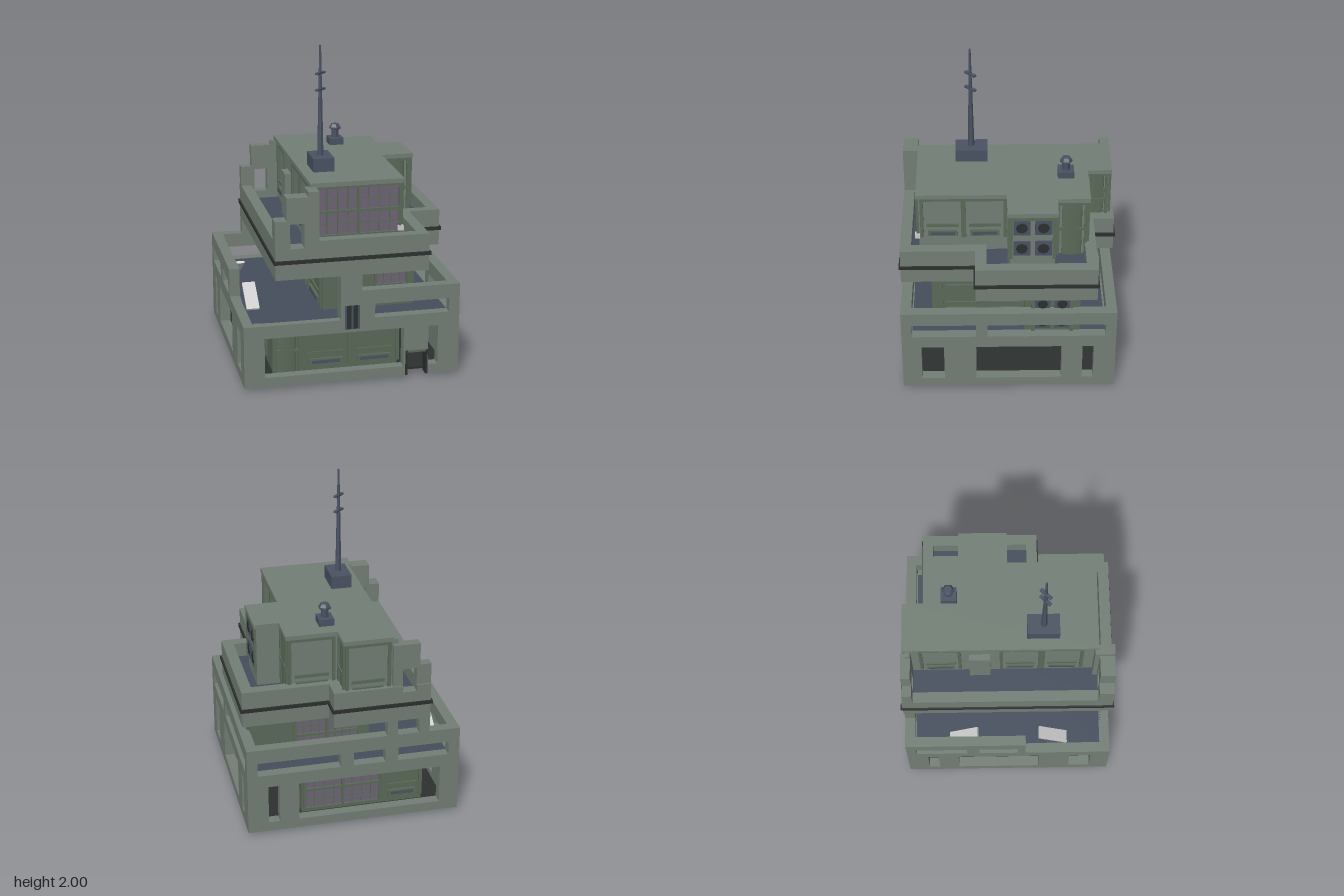
import * as THREE from 'three';

const mat = color => new THREE.MeshStandardMaterial({ color, flatShading: true, roughness: 0.9 });

export function createModel() {
  const root = new THREE.Group();
  const wall = mat(0x727e75), green = mat(0x5a6a58), dark = mat(0x4a5262);
  const glass = mat(0x6d6474), white = mat(0xcccccc), floor = mat(0x454d5c), black = mat(0x2c302e);

  const add = (parent, name, geo, m) => {
    const mesh = new THREE.Mesh(geo, m);
    mesh.name = name;
    parent.add(mesh);
    return mesh;
  };
  // Box given by its limits on each axis
  const box = (name, x0, x1, y0, y1, z0, z1, m = wall, parent = root) => {
    const mesh = add(parent, name, new THREE.BoxGeometry(x1 - x0, y1 - y0, z1 - z0), m);
    mesh.position.set((x0 + x1) / 2, (y0 + y1) / 2, (z0 + z1) / 2);
  };
  const vecs = pts => pts.map(([x, y]) => new THREE.Vector2(x, y));
  const rect = ([a, b, c, d]) => new THREE.Path(vecs([[a, c], [b, c], [b, d], [a, d]]));
  const extrude = (shape, depth) => new THREE.ExtrudeGeometry(shape, { depth, bevelEnabled: false });

  // Plan outline (x, z) raised from y0 to y1, with an optional inner outline cut out
  const plan = (name, pts, y0, y1, m, inner) => {
    const flip = p => vecs(p.map(([x, z]) => [x, -z]));
    const shape = new THREE.Shape(flip(pts).reverse());
    if (inner) shape.holes.push(new THREE.Path(flip(inner)));
    add(root, name, extrude(shape, y1 - y0).rotateX(-Math.PI / 2).translate(0, y0, 0), m);
  };
  // Upright wall with rectangular openings; along x, or along z when side is set
  const pierced = (name, pts, holes, at, side, t = 0.065) => {
    const shape = new THREE.Shape(vecs(pts));
    shape.holes = holes.map(rect);
    const geo = extrude(shape, t);
    if (side) geo.rotateY(-Math.PI / 2).translate(at + t, 0, 0);
    else geo.translate(0, 0, at);
    add(root, name, geo, wall);
  };

  // ---- Facade pieces: local x runs along the wall, local z points outward ----
  const facade = (name, x, y, z, ry, build) => {
    const g = new THREE.Group();
    g.name = name;
    g.position.set(x, y, z);
    g.rotation.y = ry;
    build(g);
    root.add(g);
  };
  const windowGrid = (g, w, h, cols, rows) => {
    const cw = w / cols, rh = h / rows;
    for (let i = 0; i < cols; i++) for (let j = 0; j < rows; j++) {
      const x = -w / 2 + i * cw, y = j * rh;
      box('windowPane', x + 0.01, x + cw - 0.01, y + 0.01, y + rh - 0.01, -0.005, 0.006, glass, g);
      for (let k = 1; k < 4; k++)
        box('glazingBar', x + cw * k / 4 - 0.003, x + cw * k / 4 + 0.003, y + 0.01, y + rh - 0.01, 0, 0.01, green, g);
      box('glazingRail', x + 0.01, x + cw - 0.01, y + rh / 2 - 0.003, y + rh / 2 + 0.003, 0, 0.01, green, g);
    }
    for (let i = 0; i <= cols; i++)
      box('mullion', -w / 2 + i * cw - 0.008, -w / 2 + i * cw + 0.008, 0, h, 0, 0.016, green, g);
    for (let j = 0; j <= rows; j++)
      box('transom', -w / 2, w / 2, Math.max(0, j * rh - 0.008), j * rh + 0.008, 0, 0.016, green, g);
  };
  const windowFrame = (g, w, h) => {
    for (const s of [-1, 1]) box('pilaster', s * w / 2 - 0.01, s * w / 2 + 0.01, 0, h, 0, 0.014, green, g);
    box('lintel', -w / 2, w / 2, h - 0.02, h, 0, 0.012, green, g);
  };
  const fanGrid = (g, w, h, rows) => {
    windowFrame(g, w, h);
    for (const sx of [-1, 1]) for (let j = 0; j < rows; j++) {
      const cy = (j + 0.5) * h / rows, s = Math.min(w / 4, h / rows / 2) - 0.014;
      box('fanHousing', sx * w / 4 - s, sx * w / 4 + s, cy - s, cy + s, 0, 0.01, dark, g);
      const fan = add(g, 'fan', new THREE.CylinderGeometry(s * 0.7, s * 0.7, 0.006, 8).rotateX(Math.PI / 2), black);
      fan.position.set(sx * w / 4, cy, 0.011);
    }
  };
  const consoleBay = (g, w, h) => {
    windowFrame(g, w, h);
    box('ledgeBox', -w * 0.36, w * 0.36, 0.01, 0.05, 0, 0.014, green, g);
    box('ledgeSlot', -w * 0.3, w * 0.3, 0.02, 0.04, 0.01, 0.017, dark, g);
    box('ledgeCap', -w * 0.39, w * 0.39, 0.075, 0.095, 0, 0.01, green, g);
  };
  const roundBay = (g, w, h) => {
    windowFrame(g, w, h);
    const r = w * 0.36;
    add(g, 'halfColumn', new THREE.CylinderGeometry(r, r, h, 16, 1, false, -Math.PI / 2, Math.PI)
      .scale(1, 1, 0.25).translate(0, h / 2, 0), green);
    box('columnBand', -w / 2, w / 2, h / 2 - 0.008, h / 2 + 0.008, 0, 0.018, green, g);
  };
  const Q = Math.PI / 2;

  // ---- Ground storey: floor, pierced outer walls, terrace, inner block ----
  box('groundFloor', -0.61, 0.6, 0.03, 0.045, -0.61, 0.6, black);
  for (const [x, z, w] of [[-0.28, -0.04, 0.04], [0.07, -0.04, 0.02]])
    box('footPad', x - w / 2, x + w / 2, 0, 0.03, z - 0.035, z + 0.035, dark);
  box('terraceFloor', -0.61, 0.6, 0.35, 0.41, -0.61, 0.61, floor);
  pierced('frontWall', [[-0.67, 0.02], [0.33, 0.02], [0.33, 0.17], [0.455, 0.17], [0.455, 0.02], [0.655, 0.02],
    [0.655, 0.59], [-0.08, 0.59], [-0.08, 0.41], [-0.67, 0.41]],
  [[-0.545, 0.31, 0.08, 0.33], [0.465, 0.525, 0.08, 0.33], [0.13, 0.6, 0.412, 0.5]], 0.595);
  pierced('backWall', [[-0.67, 0.02], [0.655, 0.02], [0.655, 0.59], [-0.67, 0.59]],
    [[-0.55, 0.34, 0.08, 0.33], [0.46, 0.53, 0.08, 0.33],
      [-0.6, -0.28, 0.412, 0.5], [-0.2, 0, 0.412, 0.5], [0.08, 0.6, 0.412, 0.5]], -0.665);
  pierced('leftWall', [[-0.665, 0.02], [0.66, 0.02], [0.66, 0.59], [-0.665, 0.59]],
    [[0.4, 0.54, 0.08, 0.33], [-0.33, 0.2, 0.08, 0.33], [-0.53, -0.46, 0.08, 0.33],
      [0.2, 0.6, 0.412, 0.5], [-0.6, 0.13, 0.412, 0.5]], 0.593, true);
  pierced('rightWall', [[-0.665, 0.02], [0.66, 0.02], [0.66, 0.41], [0.11, 0.41], [0.11, 0.59], [-0.665, 0.59]],
    [[0.4, 0.54, 0.08, 0.33], [-0.33, 0.2, 0.08, 0.33], [-0.53, -0.46, 0.08, 0.33],
      [-0.6, -0.27, 0.412, 0.5], [-0.19, 0.06, 0.412, 0.5]], -0.67, true);
  box('groundBlock', -0.47, 0.3, 0.04, 0.36, -0.54, 0.54, green);
  facade('frontRoundBay', -0.39, 0.045, 0.54, 0, g => roundBay(g, 0.16, 0.305));
  facade('frontBayA', -0.15, 0.08, 0.54, 0, g => consoleBay(g, 0.29, 0.27));
  facade('frontBayB', 0.155, 0.08, 0.54, 0, g => consoleBay(g, 0.29, 0.27));
  facade('backGlazing', 0.04, 0.07, -0.54, Math.PI, g => windowGrid(g, 0.48, 0.27, 2, 2));
  facade('backBay', -0.34, 0.08, -0.54, Math.PI, g => consoleBay(g, 0.24, 0.27));
  for (const z of [-0.18, 0.15]) {
    facade('leftBay', 0.3, 0.08, z, Q, g => consoleBay(g, 0.32, 0.27));
    facade('rightBay', -0.47, 0.08, z, -Q, g => consoleBay(g, 0.32, 0.27));
  }
  // Doorway
  for (const x of [0.322, 0.449]) box('doorJamb', x, x + 0.014, 0.02, 0.18, 0.6, 0.662, black);
  box('doorHead', 0.322, 0.463, 0.166, 0.18, 0.6, 0.662, green);

  // ---- Terrace: middle storey, posts, tilted panels ----
  box('middleBlock', -0.15, 0.42, 0.4, 0.72, -0.45, 0.46, green);
  box('middleWing', 0.4, 0.595, 0.4, 0.72, -0.44, -0.1, green);
  facade('middleFrontGlazing', 0.28, 0.42, 0.46, 0, g => windowGrid(g, 0.2, 0.25, 1, 2));
  facade('middleWingFans', 0.595, 0.41, -0.27, Q, g => fanGrid(g, 0.24, 0.28, 2));
  for (const z of [0.29, 0.02])
    facade('middleBay', 0.42, 0.41, z, Q, g => {
      consoleBay(g, 0.25, 0.28);
      box('upperLedge', -0.09, 0.09, 0.2, 0.23, 0, 0.014, green, g);
    });
  for (const z of [0.24, -0.2]) facade('middleRightBay', -0.15, 0.41, z, -Q, g => consoleBay(g, 0.36, 0.28));
  facade('middleBackGlazing', 0.12, 0.42, -0.45, Math.PI, g => windowGrid(g, 0.4, 0.25, 2, 2));
  box('frontPost', -0.08, 0.05, 0.4, 0.7, 0.56, 0.66);
  box('frontPostRecess', -0.05, 0.03, 0.35, 0.5, 0.65, 0.661, black);
  for (const x of [-0.05, -0.01, 0.03]) box('postRib', x - 0.006, x + 0.006, 0.35, 0.5, 0.65, 0.665, dark);
  box('backCornerPost', -0.475, -0.41, 0.58, 0.7, -0.665, -0.6);
  box('backPost', -0.275, -0.21, 0.58, 0.7, -0.665, -0.6);
  for (const s of [-1, 1]) {
    const p = add(root, 'tiltedPanel', new THREE.BoxGeometry(0.08, 0.015, 0.21), white);
    p.position.set(-0.565, 0.47, s * 0.288);
    p.rotation.x = s * 0.55;
  }

  // ---- Overhanging deck with parapet and rib ----
  const outline = (o, x0 = -0.475) => [[x0 - o, -0.67 - o], [0.125 + o, -0.67 - o], [0.125 + o, -0.54 - o],
    [0.657 + o, -0.54 - o], [0.657 + o, 0.2 + o], [0.46 + o, 0.2 + o], [0.46 + o, 0.66 + o], [x0 - o, 0.66 + o]];
  plan('deckSlab', outline(-0.01), 0.692, 0.83, floor);
  plan('deckParapet', outline(0), 0.69, 0.88, wall, outline(-0.068));
  plan('deckRib', outline(0.01), 0.788, 0.81, black, outline(-0.03));
  // Parapet top, broken at the two end screens
  plan('parapetTop', [...outline(0, -0.3), ...outline(-0.068, -0.368).reverse()], 0.88, 0.92, wall);
  plan('parapetTopRight', [[-0.475, -0.67], [-0.385, -0.67], [-0.385, -0.602], [-0.407, -0.602],
    [-0.407, 0.592], [-0.385, 0.592], [-0.385, 0.66], [-0.475, 0.66]], 0.88, 0.92, wall);
  // End screens with a see-through opening beside the upper storey
  for (const [z0, z1] of [[0.565, 0.658], [-0.66, -0.6]]) {
    box('cornerFin', -0.475, -0.405, 0.9, 1.05, z0, z1);
    pierced('endScreen', [[-0.405, 0.82], [-0.24, 0.82], [-0.24, 1.19], [-0.405, 1.19]],
      [[-0.385, -0.3, 0.88, 1.03]], z0, false, z1 - z0);
    box('screenPier', -0.275, -0.21, 0.82, 1.22, z0 - 0.03 * Math.sign(z0), z1);
  }

  // ---- Upper storey ----
  const upper = [[-0.245, -0.65], [0.065, -0.65], [0.065, -0.5], [0.38, -0.5], [0.38, -0.3],
    [0.533, -0.3], [0.533, 0.005], [0.33, 0.005], [0.33, 0.56], [-0.245, 0.56]];
  // Walls sit just inside the roof edge so the trim stays under it
  const inset = ([x, z], i) => [x - 0.016 * Math.sign(x), z + (i < 6 ? 0.016 : -0.016)];
  plan('upperStorey', upper.map(inset), 0.8, 1.22, wall);
  plan('roof', upper, 1.215, 1.242, wall);
  facade('upperFrontGlazing', 0.05, 0.91, 0.544, 0, g => windowGrid(g, 0.51, 0.3, 2, 2));
  facade('wingRoundBay', 0.42, 0.83, -0.011, 0, g => roundBay(g, 0.17, 0.385));
  facade('wingFans', 0.517, 0.91, -0.147, Q, g => fanGrid(g, 0.26, 0.3, 2));
  for (const z of [0.4, 0.14]) facade('upperLeftBay', 0.314, 0.93, z, Q, g => consoleBay(g, 0.25, 0.285));
  facade('upperSideColumn', 0.364, 0.83, -0.39, Q, g => roundBay(g, 0.17, 0.385));
  facade('upperBackBay', 0.22, 0.88, -0.484, Math.PI, g => consoleBay(g, 0.27, 0.335));
  facade('upperEndBay', -0.09, 0.88, -0.634, Math.PI, g => consoleBay(g, 0.26, 0.335));
  facade('upperEndColumn', 0.049, 0.83, -0.56, Q, g => roundBay(g, 0.12, 0.385));
  for (const z of [-0.42, 0.08, 0.34]) facade('upperRightBay', -0.229, 0.88, z, -Q, g => consoleBay(g, 0.24, 0.335));
  box('sideDoorBox', -0.27, -0.22, 0.82, 1.12, -0.24, -0.11);
  box('cornerLamp', 0.29, 0.325, 0.92, 0.95, 0.54, 0.57, white);

  // ---- Roof mast and vent ----
  box('mastBase', -0.175, -0.045, 1.235, 1.325, 0.12, 0.32, dark);
  const mast = add(root, 'mast', new THREE.CylinderGeometry(0.006, 0.02, 0.68, 6), dark);
  mast.position.set(-0.112, 1.66, 0.222);
  for (const y of [1.73, 1.83]) {
    const bar = add(root, 'mastCrossbar', new THREE.BoxGeometry(0.085, 0.012, 0.022), dark);
    bar.position.set(-0.112, y, 0.222);
    bar.rotation.y = Math.PI / 4;
  }
  box('ventPad', 0.063, 0.155, 1.235, 1.285, -0.41, -0.31, dark);
  const vent = add(root, 'roofVent', new THREE.LatheGeometry(vecs([[0.024, 1.28], [0.024, 1.335], [0.038, 1.34],
    [0.038, 1.352], [0.025, 1.372], [0, 1.372]]), 6), dark);
  vent.position.set(0.11, 0, -0.36);
  return root;
}
